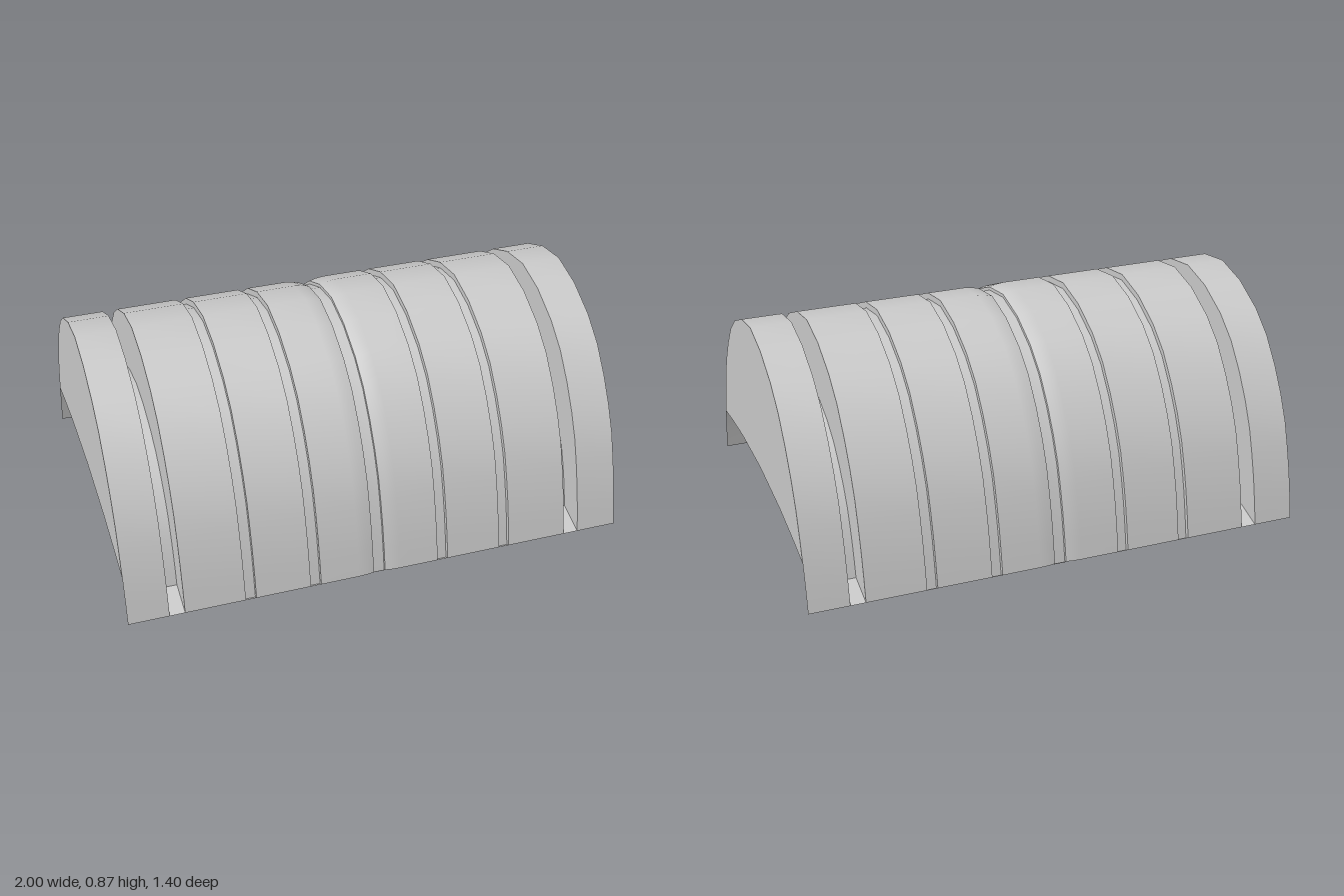
import * as THREE from 'three';

const material = new THREE.MeshStandardMaterial({ color: 0xcccccc, side: THREE.DoubleSide });

// Half of the arch as [z, y], from the front edge up to the ridge
const half = [[0.70, 0.01], [0.682, 0.105], [0.66, 0.203], [0.632, 0.3], [0.60, 0.395], [0.55, 0.496],
  [0.487, 0.594], [0.404, 0.694], [0.302, 0.771], [0.158, 0.836], [0, 0.865]];
const mirrorHalf = (pts) => [...pts, ...pts.slice(0, -1).reverse().map(([z, y]) => [-z, y])];
const outer = mirrorHalf(half);

// An arch shrunk to the given base width, base height and top height
const inset = (baseZ, baseY, topY) => outer.map(([z, y]) =>
  [z * baseZ / 0.70, baseY + (y - 0.01) * (topY - baseY) / 0.855]);
const shallow = inset(0.682, 0.0, 0.84);
const deep = inset(0.57, 0.042, 0.612);
const softEdge = inset(0.694, 0.01, 0.853);
const softMid = inset(0.698, 0.01, 0.861);

// Smooth skin through stations [x, profile]
function skin(name, stations) {
  const pos = [], index = [], n = stations[0][1].length;
  for (const [x, profile] of stations) for (const [z, y] of profile) pos.push(x, y, z);
  for (let i = 0; i < stations.length - 1; i++) {
    for (let j = 0; j < n - 1; j++) {
      const a = i * n + j, b = a + n;
      index.push(a, b, a + 1, b, b + 1, a + 1);
    }
  }
  const geo = new THREE.BufferGeometry();
  geo.setAttribute('position', new THREE.Float32BufferAttribute(pos, 3));
  geo.setIndex(index);
  geo.computeVertexNormals();
  const mesh = new THREE.Mesh(geo, material);
  mesh.name = name;
  return mesh;
}

// Groove: two walls, a floor and a small foot closing each lower end
function groove(name, x0, x1, floor, rim = outer) {
  const g = new THREE.Group();
  g.name = name;
  g.add(skin('grooveWall', [[x0, rim], [x0, floor]]),
    skin('grooveFloor', [[x0, floor], [x1, floor]]),
    skin('grooveWall', [[x1, floor], [x1, rim]]));
  for (const end of [0, outer.length - 1]) {
    const foot = [rim[end], floor[end]];
    g.add(skin('grooveFoot', [[x0, foot], [x1, foot]]));
  }
  return g;
}

// End plate between the arch and a gently bowed lower edge
function endPlate(name, x) {
  const lower = mirrorHalf([[0.66, 0.203], [0.525, 0.225], [0.32, 0.25], [0, 0.265]]);
  const top = outer.slice(2, -2);
  const pts = [...top, ...lower.slice(1, -1).reverse()];
  const shape = new THREE.Shape(pts.map(([z, y]) => new THREE.Vector2(-z, y)));
  const geo = new THREE.ShapeGeometry(shape);
  geo.rotateY(Math.PI / 2);
  const mesh = new THREE.Mesh(geo, material);
  mesh.position.x = x;
  mesh.name = name;
  return mesh;
}

export function createModel() {
  const group = new THREE.Group();
  group.name = 'archedCover';

  // Grooves across the arch, in order of x
  const grooves = [
    [-0.84, -0.78, deep], [-0.542, -0.5, shallow], [-0.282, -0.24, shallow], [-0.023, 0.023, shallow],
    [0.24, 0.282, shallow], [0.5, 0.542, shallow], [0.78, 0.84, deep],
  ];
  let x = -1;
  grooves.forEach(([x0, x1, floor], i) => {
    const middle = i === 3;
    group.add(groove(floor === deep ? 'deepGroove' : 'shallowGroove', x0, x1, floor, middle ? softEdge : outer));
    // Panels beside the middle groove dip softly towards it
    const stations = [[x, outer], [x0, outer]];
    if (middle) stations.splice(1, 1, [-0.085, outer], [-0.05, softMid], [x0, softEdge]);
    if (i === 4) stations.splice(0, 1, [x, softEdge], [0.05, softMid], [0.085, outer]);
    group.add(skin('panel', stations));
    x = x1;
  });
  group.add(skin('panel', [[x, outer], [1, outer]]));

  group.add(endPlate('leftEndPlate', 1), endPlate('rightEndPlate', -1));
  return group;
}
